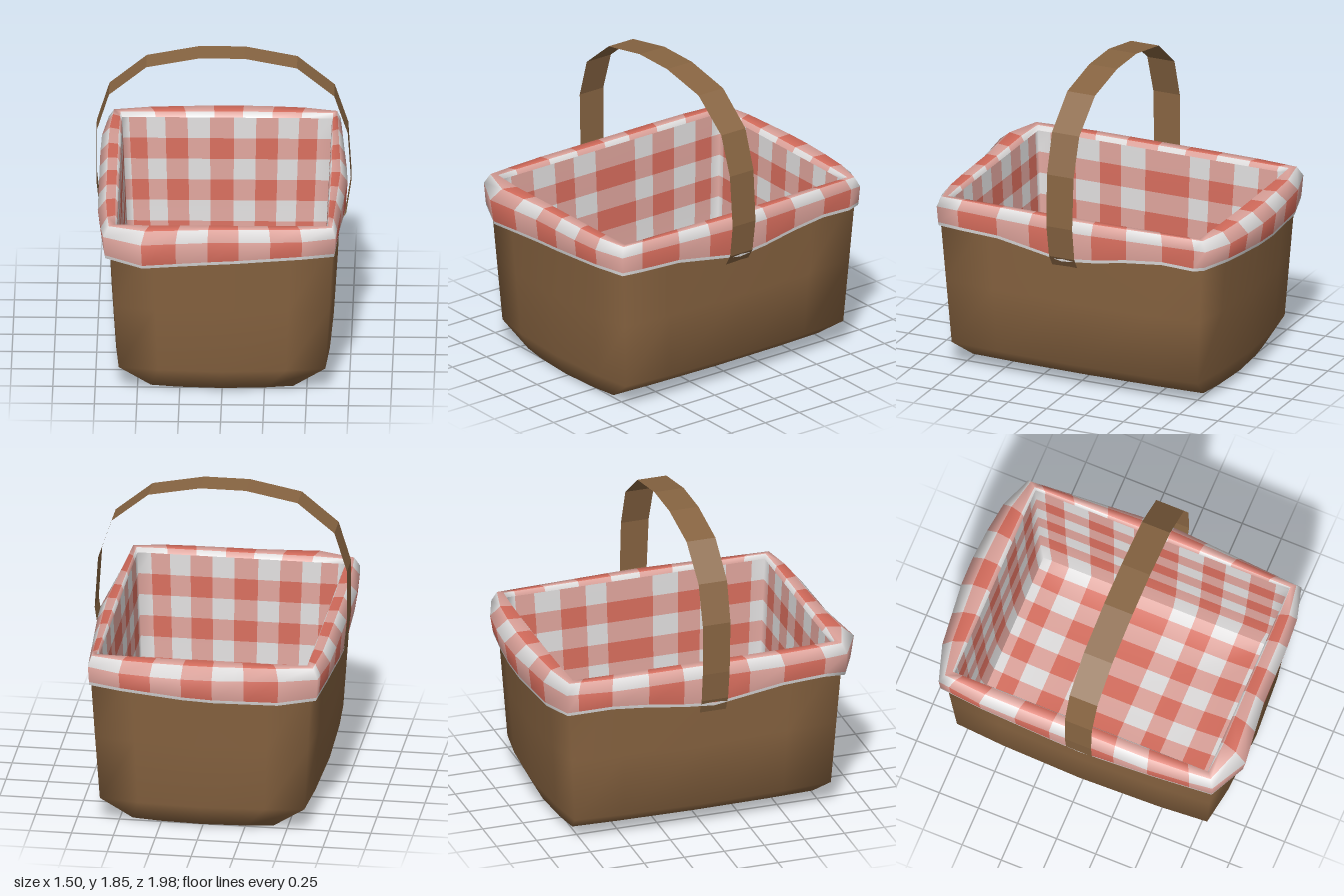
import * as THREE from 'three';

const mat = (name, color, side = THREE.FrontSide) => {
  const m = new THREE.MeshStandardMaterial({ color, side });
  m.name = name;
  return m;
};

// Piecewise linear lookup through [position, value] pairs
function lookup(table, t) {
  for (let i = 1; i < table.length; i++) {
    const [a, va] = table[i - 1], [b, vb] = table[i];
    if (t <= b) return va + (vb - va) * Math.max(0, (t - a) / (b - a));
  }
  return table[table.length - 1][1];
}

// Closed loop round a unit square: front, left, back, right
function squareLoop(us, vs) {
  const rev = (a) => [...a].reverse();
  const sides = [
    us.map((u) => [u, 1]), rev(vs).map((v) => [1, v]),
    rev(us).map((u) => [u, -1]), vs.map((v) => [-1, v]),
  ];
  const points = [], columns = [];
  for (const side of sides) {
    side.slice(0, -1).forEach((p, i) => {
      points.push(p);
      columns.push(i % 2);
    });
  }
  return { points, columns };
}

// Collects quads by material, then makes one smooth geometry with groups
class Patchwork {
  constructor(count) {
    this.positions = [];
    this.faces = Array.from({ length: count }, () => []);
  }
  quad(m, a, b, c, d) { this.faces[m].push(a, b, c, a, c, d); }
  rings(rings, pick) {
    const base = this.positions.length / 3, n = rings[0].length;
    rings.flat().forEach((p) => this.positions.push(...p));
    for (let i = 0; i + 1 < rings.length; i++) {
      for (let j = 0; j < n; j++) {
        const k = (j + 1) % n, r = base + i * n;
        this.quad(pick(i, j), r + j, r + k, r + n + k, r + n + j);
      }
    }
  }
  build() {
    const g = new THREE.BufferGeometry();
    g.setAttribute('position', new THREE.Float32BufferAttribute(this.positions, 3));
    g.setIndex(this.faces.flat());
    let start = 0;
    this.faces.forEach((f, m) => {
      g.addGroup(start, f.length, m);
      start += f.length;
    });
    g.computeVertexNormals();
    return g;
  }
}

export function createModel() {
  const model = new THREE.Group();
  model.name = 'picnicBasket';
  const wicker = mat('wicker brown', 0x876340);
  const handleBrown = mat('handle brown', 0x886542, THREE.DoubleSide);
  const cloth = [
    mat('cloth white', 0xdedcdc, THREE.DoubleSide),
    mat('cloth pink', 0xdda39b, THREE.DoubleSide),
    mat('cloth red', 0xd56c5c, THREE.DoubleSide),
  ];
  const add = (name, geometry, material) => {
    const mesh = new THREE.Mesh(geometry, material);
    mesh.name = name;
    model.add(mesh);
  };

  // Basket body: bulging rectangular loops from the base centre upwards
  const stations = [-1, -0.62, 0, 0.62, 1];
  const bodyLoop = squareLoop(stations, stations).points;
  const bodyRing = ([y, hx, hz, bx, bz]) => bodyLoop.map(([u, v]) => [
    u * (hx + bx * (1 - v * v)), y, v * (hz + bz * (1 - u * u)),
  ]);
  const body = new Patchwork(1);
  body.rings([
    [0, 0, 0, 0, 0],
    [0.015, 0.42, 0.75, 0.02, 0.04],
    [0.15, 0.61, 0.8, 0.035, 0.06],
    [0.55, 0.635, 0.825, 0.035, 0.065],
    [1.0, 0.66, 0.855, 0.03, 0.07],
  ].map(bodyRing), () => 0);
  add('basketBody', body.build(), [wicker]);

  // Folded cloth rim: an uneven outer outline blended in to a straight inner edge
  const innerX = 0.62, innerZ = 0.81;
  const frontZ = [[-1, 0.87], [-0.68, 0.99], [-0.15, 0.945], [0.65, 0.935], [1, 0.87]];
  const backZ = [[-1, 0.88], [-0.68, 0.95], [0, 1.0], [0.65, 0.97], [1, 0.88]];
  const leftX = [[-1, 0.67], [0, 0.73], [1, 0.67]];
  const rightX = [[-1, 0.7], [-0.65, 0.74], [0.65, 0.74], [1, 0.7]];
  const frontHem = [[-1, 0.88], [-0.68, 0.86], [0, 0.87], [0.62, 0.9], [1, 0.9]];
  const sideHem = [[-1, 0.88], [-0.62, 0.9], [0, 0.82], [0.62, 0.9], [1, 0.89]];
  const rimU = [-1, -0.68, -0.39, -0.12, 0.15, 0.43, 0.71, 1];
  const rimV = [-1, -0.92, -0.69, -0.43, -0.18, 0.04, 0.29, 0.54, 0.84, 1];
  const rimLoop = squareLoop(rimU, rimV);
  const rimRing = ([f, y, hem]) => rimLoop.points.map(([u, v]) => {
    const ox = u * lookup(u > 0 ? leftX : rightX, v);
    const oz = v * lookup(v > 0 ? frontZ : backZ, u);
    const lower = Math.abs(v) === 1 ? lookup(frontHem, u) : lookup(sideHem, v);
    return [
      THREE.MathUtils.lerp(u * innerX, ox, f),
      hem ? lower + y : y,
      THREE.MathUtils.lerp(v * innerZ, oz, f),
    ];
  });
  const rim = new Patchwork(3);
  rim.rings([
    [0.86, 0, true], [0.89, 0.02, true], [1, 1.02], [0.6, 1.08], [0.12, 1.08], [0, 1.05],
  ].map(rimRing), (i, j) => (i === 0 ? 0 : rimLoop.columns[j] + (i % 2)));
  add('clothRim', rim.build(), cloth);

  // Checked lining: walls running down from the rim
  const liningU = [-0.61, -0.57, -0.47, -0.36, -0.23, -0.1, 0.04, 0.17, 0.3, 0.42, 0.53, 0.61]
    .map((x) => x / 0.61);
  const liningV = [-0.81, -0.75, -0.63, -0.47, -0.31, -0.18, 0.11, 0.27, 0.41, 0.57, 0.73, 0.81]
    .map((z) => z / 0.81);
  const liningLoop = squareLoop(liningU, liningV);
  const floorX = 0.55, floorZ = 0.73;
  const lining = new Patchwork(3);
  const wallRings = [
    [1.05, innerX, innerZ], [0.92, 0.613, 0.802], [0.79, 0.607, 0.794], [0.66, 0.601, 0.787],
    [0.53, 0.595, 0.779], [0.4, 0.589, 0.77], [0.27, 0.578, 0.758], [0.15, floorX, floorZ],
  ].map(([y, hx, hz]) => liningLoop.points.map(([u, v]) => [u * hx, y, v * hz]));
  lining.rings(wallRings, (i, j) => liningLoop.columns[j] + (i % 2));

  // Checked lining: shallow dished floor
  const base = lining.positions.length / 3, n = liningV.length;
  for (const u of liningU) {
    for (const v of liningV) {
      const rise = Math.max(Math.abs(u), Math.abs(v)) ** 4;
      lining.positions.push(u * floorX, 0.1 + 0.05 * rise, v * floorZ);
    }
  }
  for (let i = 0; i + 1 < liningU.length; i++) {
    for (let j = 0; j + 1 < n; j++) {
      const a = base + i * n + j;
      lining.quad((i % 2) + (j % 2), a, a + 1, a + n + 1, a + n);
    }
  }
  add('clothLining', lining.build(), cloth);

  // Handle: a thin flat-sided strap bent over the basket
  const strap = [
    [0.67, 0.77], [0.72, 0.85], [0.75, 1.05], [0.73, 1.37], [0.65, 1.61], [0.43, 1.79],
    [0.12, 1.85], [-0.15, 1.85], [-0.46, 1.79], [-0.68, 1.61], [-0.755, 1.37],
    [-0.755, 1.05], [-0.735, 0.87], [-0.7, 0.78],
  ];
  const edge = ([x, y], front) => [x, y, front ? 0.1 + 0.017 * y : -0.05];
  const corners = [];
  for (let i = 0; i + 1 < strap.length; i++) {
    const a = edge(strap[i], true), b = edge(strap[i], false);
    const c = edge(strap[i + 1], false), d = edge(strap[i + 1], true);
    corners.push(...a, ...b, ...c, ...a, ...c, ...d);
  }
  const handle = new THREE.BufferGeometry();
  handle.setAttribute('position', new THREE.Float32BufferAttribute(corners, 3));
  handle.computeVertexNormals();
  add('handle', handle, handleBrown);

  return model;
}
